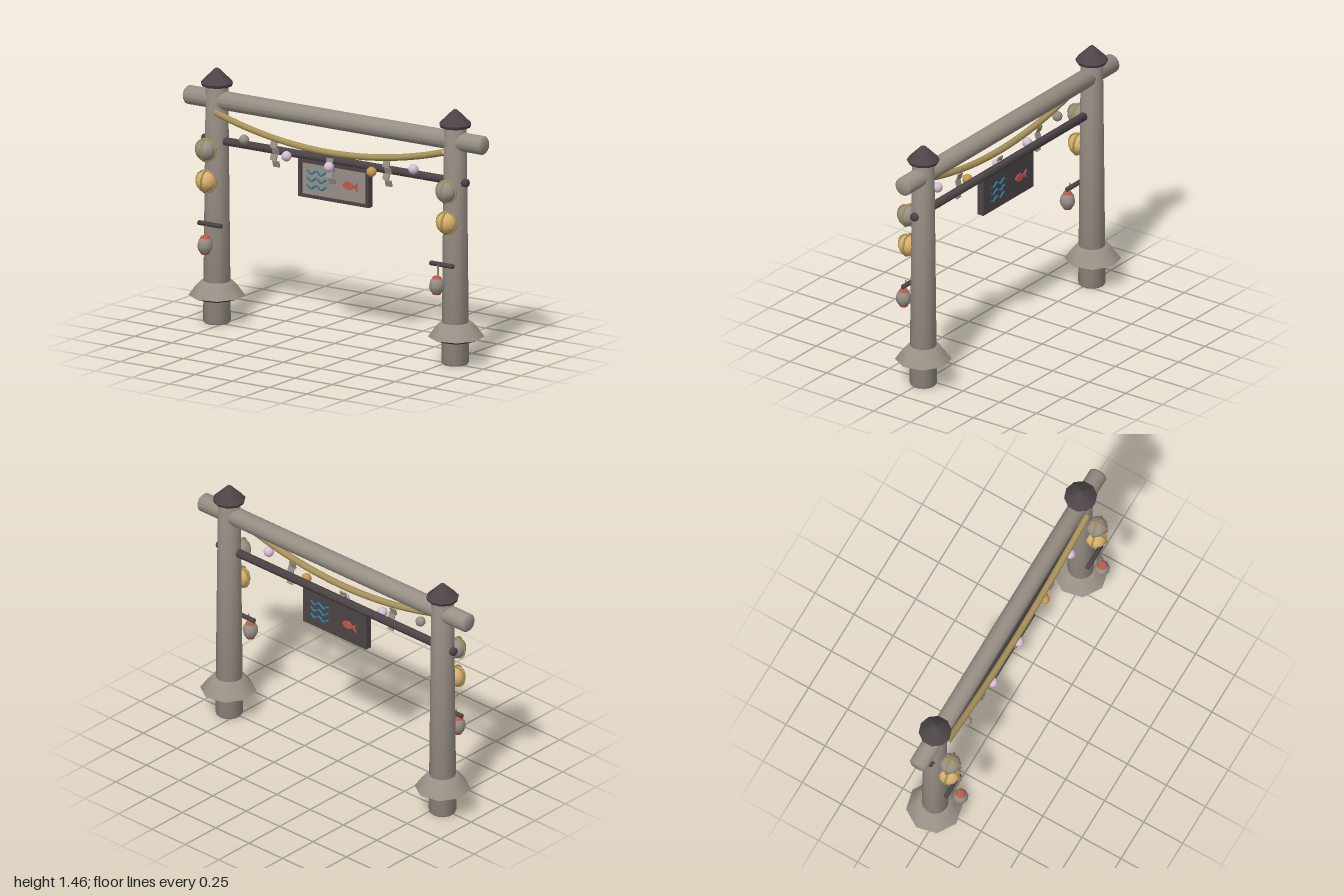
import * as THREE from 'three';
import { toCreasedNormals } from 'three/addons/utils/BufferGeometryUtils.js';

const mat = (name, color, side = THREE.FrontSide) => {
  const m = new THREE.MeshStandardMaterial({ color, side });
  m.name = name;
  return m;
};

export function createModel() {
  const wood = mat('weathered wood', 0x989086);
  const dark = mat('dark wood', 0x4c4446);
  const rope = mat('straw rope', 0xa8945a);
  const gold = mat('amber glass', 0xd8b06a);
  const pink = mat('pale pink', 0xd6bfd6);
  const orange = mat('orange bead', 0xc8984f);
  const red = mat('coral red', 0xc0594e);
  const blue = mat('wave blue', 0x2f7f9f);

  const root = new THREE.Group();
  root.name = 'shoreGate';

  function add(name, geo, material, x = 0, y = 0, z = 0, parent = root) {
    const m = new THREE.Mesh(geo, material);
    m.name = name;
    m.position.set(x, y, z);
    parent.add(m);
    return m;
  }
  // Turned part from [radius, height] pairs, listed bottom to top
  const turned = (pts, sides) => toCreasedNormals(
    new THREE.LatheGeometry(pts.map(([r, y]) => new THREE.Vector2(r, y)), sides), 0.85);
  // Round log along x with chamfered ends
  const log = (len, r, sides = 12) => turned([
    [0, -len / 2], [r * 0.8, -len / 2], [r, -len / 2 + r * 0.2],
    [r, len / 2 - r * 0.2], [r * 0.8, len / 2], [0, len / 2]], sides).rotateZ(-Math.PI / 2);

  // Posts with collars, caps and hanging things
  for (const s of [-1, 1]) {
    const side = new THREE.Group();
    side.name = s > 0 ? 'leftPostGroup' : 'rightPostGroup';
    side.position.set(s * 0.8, 0, -0.015);
    root.add(side);

    add('post', turned([[0, 0], [0.07, 0], [0.077, 0.012], [0.063, 1.34], [0.058, 1.36], [0, 1.36]], 14), wood, 0, 0, 0, side);
    const collar = add('collar', turned([[0.157, 0.155], [0.117, 0.21], [0.09, 0.238], [0.06, 0.24]], 8), wood, s * 0.004, 0, -0.003, side);
    const under = add('collarUnderside', turned([[0.06, 0.13], [0.085, 0.13], [0.157, 0.155]], 8), dark, s * 0.004, 0, -0.003, side);
    collar.rotation.y = under.rotation.y = -0.17;
    add('cap', turned([[0, 1.355], [0.085, 1.355], [0.092, 1.372], [0.012, 1.452], [0, 1.457]], 10), dark, 0, 0, 0, side);

    // Netted floats
    for (const [y, z, material] of [[1.005, 0.1, wood], [0.825, 0.095, gold]]) {
      const float = new THREE.Group();
      float.name = 'nettedFloat';
      float.position.set(s * 0.007, y, z);
      side.add(float);
      add('floatBall', new THREE.SphereGeometry(0.06, 12, 9), material, 0, 0, 0, float);
      for (let i = 0; i < 2; i++) {
        const ring = add('netRing', new THREE.TorusGeometry(0.062, 0.006, 5, 18), rope, 0, 0, 0, float);
        ring.rotation.y = i * Math.PI / 2 + 0.12;
      }
    }

    // Peg and small lantern
    add('peg', log(0.157, 0.014, 7), dark, -s * 0.021, 0.583, 0.1, side);
    const lantern = new THREE.Group();
    lantern.name = 'lantern';
    lantern.position.set(-s * 0.022, 0.475, 0.15);
    side.add(lantern);
    add('lanternBody', turned([[0.026, -0.041], [0.038, -0.025], [0.044, 0], [0.038, 0.027], [0.026, 0.043]], 9), wood, 0, 0, 0, lantern);
    add('lanternTop', turned([[0.028, 0.041], [0.022, 0.052], [0, 0.056]], 9), red, 0, 0, 0, lantern);
    add('lanternBase', turned([[0, -0.055], [0.022, -0.05], [0.028, -0.039]], 9), red, 0, 0, 0, lantern);
    add('lanternString', new THREE.CylinderGeometry(0.005, 0.005, 0.06, 6), rope, 0, 0.08, -0.014, lantern);
  }

  // Cross beams
  add('topBeam', log(2, 0.053, 14), wood, 0, 1.275, -0.014);
  add('lowerRail', log(1.78, 0.024, 8), dark, 0, 1.045, -0.008);

  // Sagging rope
  const sag = [];
  for (let i = 0; i <= 12; i++) {
    const t = i / 6 - 1;
    sag.push(new THREE.Vector3(t * 0.77, 1.1 + 0.117 * t * t, 0.045));
  }
  add('saggingRope', new THREE.TubeGeometry(new THREE.CatmullRomCurve3(sag), 36, 0.019, 8), rope);

  // Beads below the rope
  for (const [x, y, material] of [[-0.57, 1.092, wood], [-0.285, 1.04, pink], [0, 1.02, pink], [0.285, 1.035, orange], [0.567, 1.092, pink]]) {
    add('bead', new THREE.SphereGeometry(0.029, 10, 8), material, x, y, 0.055);
  }

  // Zigzag streamers
  for (const [x, top] of [[-0.375, 1.11], [0, 1.068], [0.38, 1.11]]) {
    const streamer = new THREE.Group();
    streamer.name = 'zigzagStreamer';
    streamer.position.set(x, top, 0.042);
    root.add(streamer);
    [-0.004, 0.008, -0.004, 0.012].forEach((dx, i) => {
      const fold = add('streamerFold', new THREE.BoxGeometry(0.042, 0.038, 0.008), wood, dx, -0.02 - i * 0.036, 0, streamer);
      fold.rotation.x = i % 2 ? 0.3 : -0.3;
    });
  }

  // Hanging sign, decorated on both faces
  const sign = new THREE.Group();
  sign.name = 'sign';
  sign.position.set(0.003, 0.92, -0.008);
  root.add(sign);
  add('signBoard', new THREE.BoxGeometry(0.475, 0.215, 0.03), dark, 0, 0, 0, sign);
  add('signPanel', new THREE.BoxGeometry(0.42, 0.175, 0.009), wood, 0.002, 0, 0.0185, sign);
  for (const sx of [-1, 1]) {
    add('frameSide', new THREE.BoxGeometry(0.022, 0.215, 0.012), dark, sx * 0.2265, 0, 0.02, sign);
    add('frameBar', new THREE.BoxGeometry(0.475, 0.018, 0.012), dark, 0, sx * 0.0985, 0.02, sign);
  }

  const fishShape = new THREE.Shape();
  fishShape.moveTo(-0.055, 0);
  fishShape.quadraticCurveTo(-0.02, 0.045, 0.02, 0.006);
  fishShape.lineTo(0.05, 0.026);
  fishShape.lineTo(0.042, 0);
  fishShape.lineTo(0.05, -0.026);
  fishShape.lineTo(0.02, -0.006);
  fishShape.quadraticCurveTo(-0.02, -0.045, -0.055, 0);
  const fishGeo = new THREE.ExtrudeGeometry(fishShape, { depth: 0.006, bevelEnabled: false, curveSegments: 6 });

  for (const back of [false, true]) {
    const art = new THREE.Group();
    art.name = back ? 'backArt' : 'frontArt';
    art.rotation.y = back ? Math.PI : 0;
    sign.add(art);
    const z = back ? 0.015 : 0.023;
    for (let row = -1; row <= 1; row++) {
      const pts = [];
      for (let i = 0; i <= 16; i++) {
        pts.push(new THREE.Vector3(-0.175 + i * 0.0084, row * 0.042 + 0.01 * Math.cos(i / 16 * Math.PI * 4 + 0.6), z + 0.002));
      }
      add('wave', new THREE.TubeGeometry(new THREE.CatmullRomCurve3(pts), 28, 0.006, 6), blue, 0, 0, 0, art);
    }
    add('fish', fishGeo, red, 0.116, 0, z, art);
  }

  return root;
}
